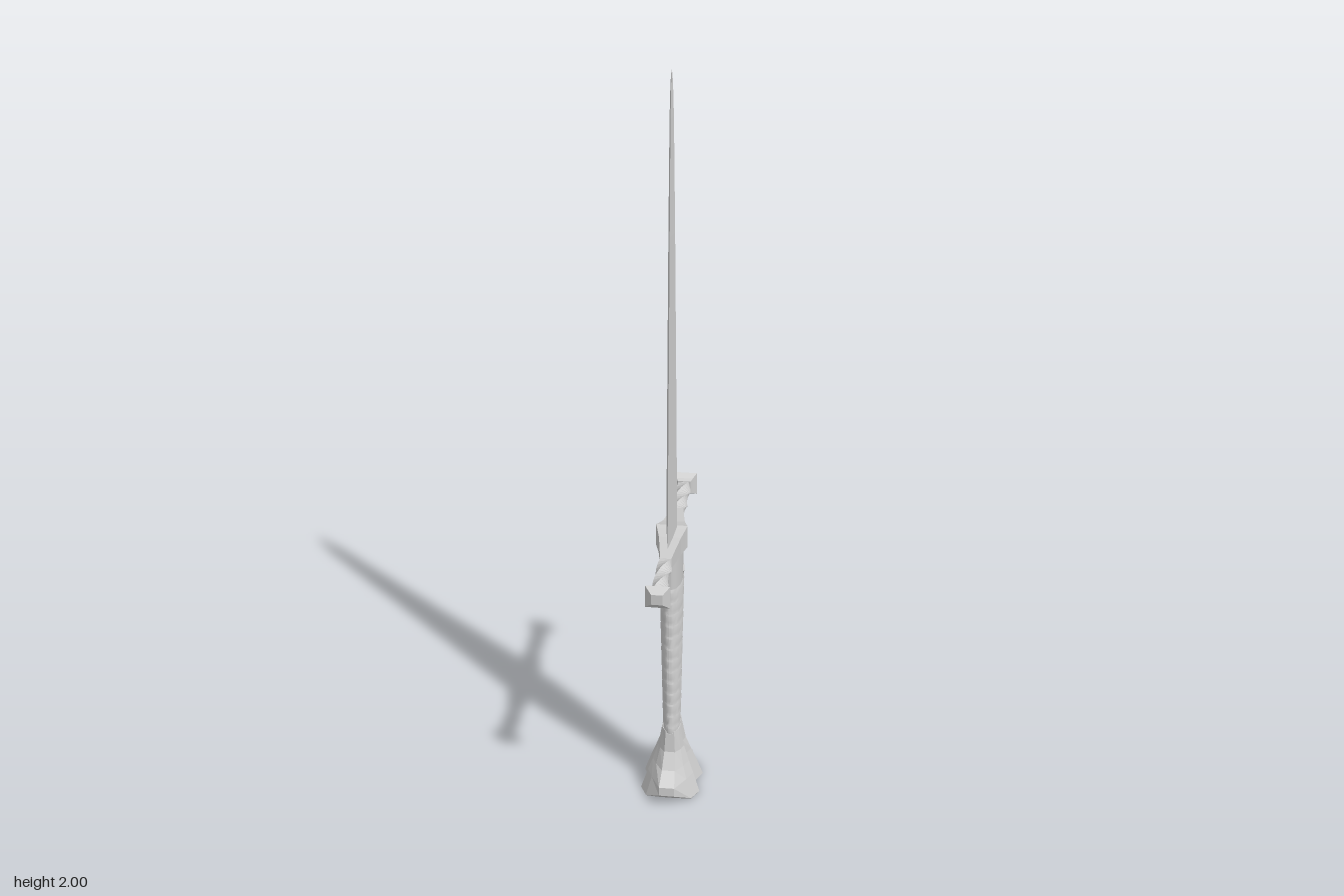
import * as THREE from 'three';
import { toCreasedNormals } from 'three/addons/utils/BufferGeometryUtils.js';

const V = (x, y, z) => new THREE.Vector3(x, y, z);
const lerp = THREE.MathUtils.lerp;

// Skin a series of cross-sections; closed rings get end caps.
function loft(rings, closed = true) {
  const n = rings[0].length, pos = [];
  const tri = (a, b, c) => pos.push(...a, ...b, ...c);
  for (let i = 0; i < rings.length - 1; i++) {
    const p = rings[i], q = rings[i + 1];
    for (let j = 0; j < (closed ? n : n - 1); j++) {
      const k = (j + 1) % n;
      tri(p[j], q[j], q[k]);
      tri(p[j], q[k], p[k]);
    }
  }
  if (closed) {
    const cap = (ring, flip) => {
      const c = ring.reduce((s, p) => s.add(p), V(0, 0, 0)).divideScalar(n);
      ring.forEach((p, j) => {
        const q = ring[(j + 1) % n];
        flip ? tri(c, p, q) : tri(c, q, p);
      });
    };
    cap(rings[0], true);
    cap(rings[rings.length - 1], false);
  }
  const geo = new THREE.BufferGeometry();
  geo.setAttribute('position', new THREE.Float32BufferAttribute(pos, 3));
  geo.computeVertexNormals();
  return geo;
}

const ellipse = (y, rx, rz, n = 24) => Array.from({ length: n }, (_, i) => {
  const a = i / n * Math.PI * 2;
  return V(rx * Math.cos(a), y, rz * Math.sin(a));
});

// Mirror a quarter outline [x, y, z] (first point on the x axis) into a full ring.
function mirrored(quarter) {
  const q = quarter.map(p => V(...p));
  const half = [...q, ...q.slice(1).reverse().map(p => V(-p.x, p.y, p.z)), V(-q[0].x, q[0].y, 0)];
  return [...half.slice(0, -1), half[half.length - 1],
    ...q.slice(1).map(p => V(-p.x, p.y, -p.z)),
    ...q.slice(1).reverse().map(p => V(p.x, p.y, -p.z))];
}

export function createModel() {
  const model = new THREE.Group();
  const flat = new THREE.MeshStandardMaterial({ color: 0xcccccc, flatShading: true });
  const smooth = new THREE.MeshStandardMaterial({ color: 0xcccccc, side: THREE.DoubleSide });
  const add = (name, geo, mat = flat) => {
    const mesh = new THREE.Mesh(geo, mat);
    mesh.name = name;
    model.add(mesh);
    return mesh;
  };

  // Blade: tapering diamond section, [y, half thickness, half width]
  const blade = [[0.74, 0.014, 0.086], [1.2, 0.011, 0.06], [1.6, 0.008, 0.039], [1.8, 0.006, 0.028],
    [1.89, 0.005, 0.022], [1.95, 0.0035, 0.014], [1.985, 0.002, 0.007], [2, 0.0005, 0.001]];
  add('blade', loft(blade.map(([y, x, z]) => ellipse(y, x, z, 4)))).position.z = 0.003;

  // Crossguard: swollen centre, twisted square arms; lofted along y, then laid along z
  const cy = 0.757;
  const section = (s, w, lo, hi, turn = 0) =>
    [[w, lo], [w, hi], [-w, hi], [-w, lo]].map(([x, h]) => {
      const c = Math.cos(turn), d = Math.sin(turn);
      return V(x * c - h * d, s, -(x * d + h * c));
    }).reverse();
  const half = [[0, 0.04, -0.025, 0.037], [0.012, 0.036, -0.025, 0.033], [0.04, 0.028, -0.024, 0.025],
    [0.08, 0.021, -0.021, 0.02], [0.125, 0.014, -0.015, 0.014]];
  for (let i = 1; i <= 14; i++) half.push([0.125 + i * 0.01, 0.014, -0.014, 0.014, Math.PI * i / 14]);
  const guardRings = [
    ...half.slice(1).reverse().map(([s, w, lo, hi, t = 0]) => section(-s, w, lo, hi, -t)),
    ...half.map(([s, ...r]) => section(s, ...r))];
  // section() runs clockwise about the axis, so flip it to face outward
  const outward = rings => {
    const [a, b, c] = rings[0];
    const up = (b.x - a.x) * (c.z - b.z) - (b.z - a.z) * (c.x - b.x);
    return up > 0 ? rings : rings.map(r => [...r].reverse());
  };
  const guard = loft(outward(guardRings)).rotateX(Math.PI / 2);
  add('crossguard', guard).position.y = cy;

  // Flared square finials at the guard ends
  for (const side of [1, -1]) {
    const prof = [[0.258, 0.017], [0.267, 0.021], [0.28, 0.031], [0.295, 0.014]];
    const rings = prof.map(([s, w]) => section(side * s, w, -w, w));
    if (side < 0) rings.reverse();
    add('guardFinial', loft(outward(rings)).rotateX(Math.PI / 2)).position.y = cy;
  }

  // Grip core with oval section
  const gripX = y => lerp(0.019, 0.029, (y - 0.18) / 0.56);
  const gripZ = y => lerp(0.044, 0.072, (y - 0.18) / 0.56);
  const core = [0.18, 0.35, 0.55, 0.74].map(y => ellipse(y, gripX(y), gripZ(y), 28));
  add('gripCore', toCreasedNormals(loft(core), 0.6), smooth);

  // Overlapping helical wrap, each turn thicker along its lower edge
  const pitch = 0.036, y0 = 0.165, turns = 13, steps = 28, wrap = [];
  for (let i = 0; i <= turns * steps; i++) {
    const a = i / steps * Math.PI * 2, base = y0 + i / steps * pitch;
    wrap.push([[1.05, 0], [0.8, 0.0035], [0.25, 0.0025], [0, 0.0035], [-0.04, 0]].map(([t, lift]) => {
      const y = THREE.MathUtils.clamp(base + t * pitch, 0.185, 0.66);
      return V((gripX(y) + lift) * Math.cos(a), y, (gripZ(y) + lift) * Math.sin(a));
    }));
  }
  add('gripWrap', toCreasedNormals(loft(wrap, false), 0.6), smooth);

  // Fishtail pommel: quarter outlines from the base up to the neck
  const D = 0.02;
  const pommel = [
    [[0.06, 0, 0], [0.078, 0, 0.04], [0.06, 0, 0.076], [D, 0, 0.079]],
    [[0.06, 0, 0], [0.078, 0, 0.04], [0.06, 0.004, 0.08], [D, 0.036, 0.121]],
    [[0.045, 0.055, 0], [0.06, 0.055, 0.033], [0.046, 0.055, 0.066], [D, 0.06, 0.119]],
    [[0.036, 0.088, 0], [0.048, 0.088, 0.027], [0.036, 0.088, 0.053], [0.017, 0.088, 0.08]],
    [[0.028, 0.13, 0], [0.034, 0.13, 0.02], [0.027, 0.13, 0.038], [0.014, 0.13, 0.054]],
    [[0.021, 0.19, 0], [0.024, 0.19, 0.014], [0.021, 0.19, 0.03], [0.011, 0.19, 0.047]]];
  add('pommel', loft(pommel.map(mirrored))).position.z = -0.004;

  return model;
}
